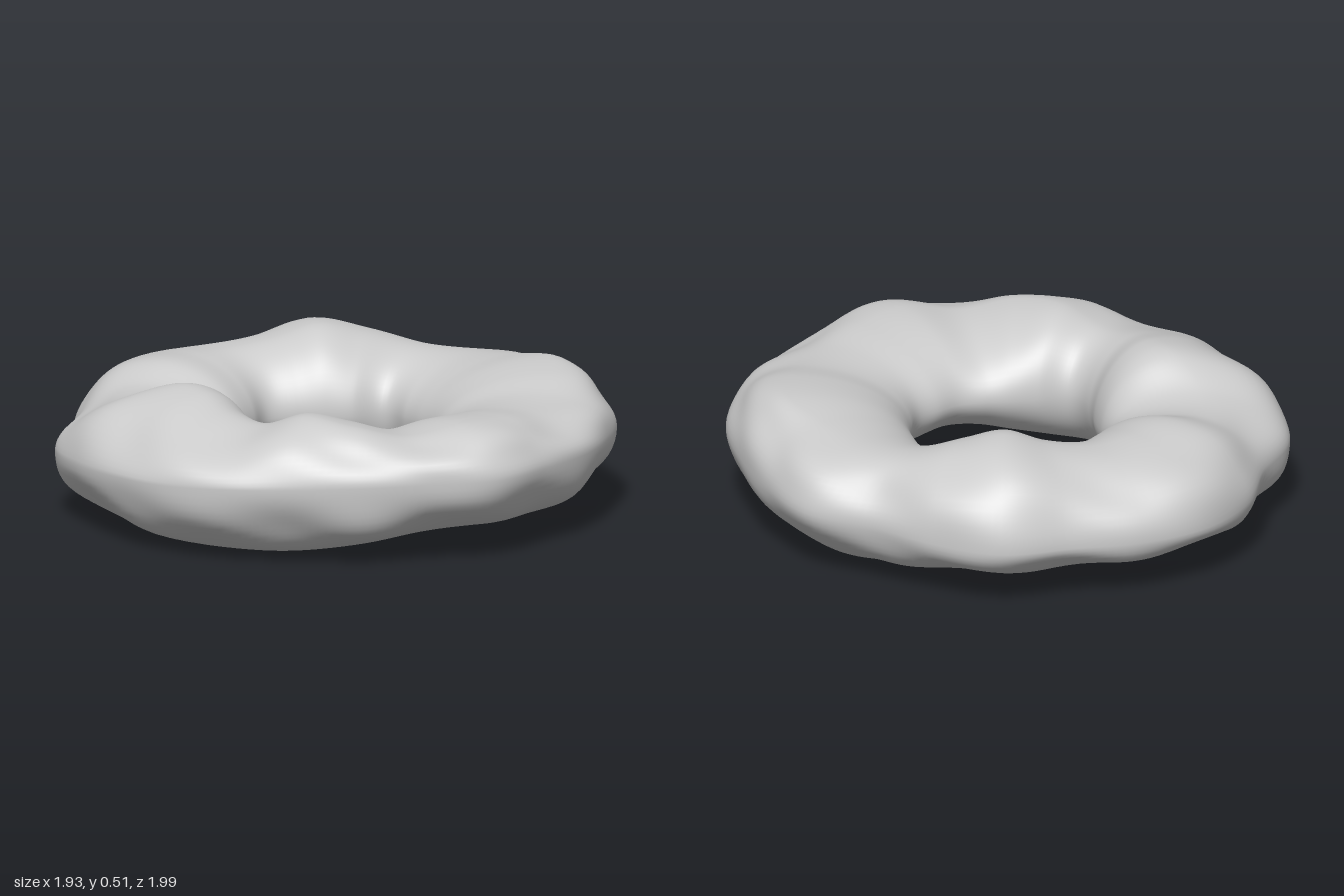
import * as THREE from 'three';

// Ring profile every 15 degrees, starting at +x and turning towards +z
const outerR = [.965, .965, .985, .965, .965, .965, .995, .935, .915, .915, .94, .965, .96, .97, .98, .93, .985, 1.01, .985, .95, .99, .945, .91, .98];
const innerR = [.35, .34, .34, .35, .365, .345, .345, .33, .33, .36, .415, .385, .34, .33, .35, .35, .345, .36, .4, .37, .35, .36, .42, .38];
const topY = [.46, .49, .48, .445, .44, .46, .47, .44, .48, .5, .45, .47, .51, .51, .43, .42, .47, .465, .46, .48, .525, .49, .445, .44];
const bottomY = [.03, .04, .04, .05, .06, .08, .09, .08, .05, .03, .02, .02, .03, .03, .03, .04, .05, .08, .09, .08, .06, .05, .03, .01];
const crestR = [.73, .79, .76, .7, .68, .73, .76, .72, .71, .64, .62, .6, .57, .59, .66, .68, .66, .65, .64, .62, .62, .64, .67, .7];

// Smooth periodic lookup (Catmull-Rom) in one of the lists
function sample(list, t) {
  const n = list.length, f = t * n, i = Math.floor(f), u = f - i;
  const [a, b, c, d] = [-1, 0, 1, 2].map(k => list[(i + k + n) % n]);
  return b + 0.5 * u * (c - a + u * (2 * a - 5 * b + 4 * c - d + u * (3 * (b - c) + d - a)));
}

// Quarter-arc term: exponent 1 is an ellipse, higher is leaner
const arc = (v, e) => Math.sign(v) * Math.pow(Math.abs(v), e);

// Leanness of each quarter of the section: sloping left shoulder, tucked-under right side
function leanness(a, cos, sin) {
  if (cos < 0) return 1.02;
  return sin > 0 ? 0.97 + 0.26 * Math.max(0, -Math.cos(a)) ** 2
    : 0.96 + 0.14 * Math.max(0, Math.cos(a)) ** 2;
}

function ringPoint(t, s, target) {
  const a = t * Math.PI * 2, p = s * Math.PI * 2;
  const e = leanness(a, Math.cos(p), Math.sin(p));
  const c = arc(Math.cos(p), e), h = arc(Math.sin(p), e);
  const ro = sample(outerR, t), ri = sample(innerR, t);
  const yt = sample(topY, t), yb = sample(bottomY, t);
  const rimY = 0.265 + 0.045 * Math.sin(a);
  const crest = sample(crestR, t), keel = 0.64 - 0.03 * Math.cos(a);
  // blend crest to keel and rim to hole heights around the section
  const midR = THREE.MathUtils.lerp(keel, crest, (h + 1) / 2);
  const midY = THREE.MathUtils.lerp(0.25, rimY, (c + 1) / 2);
  let r = midR + c * (c > 0 ? ro - midR : midR - ri);
  let y = midY + h * (h > 0 ? yt - midY : midY - yb);
  // small lumps on the outer half only
  const lump = Math.max(0, Math.cos(p)) * Math.sin(2 * p) ** 2
    * (0.012 * Math.sin(7 * a + 2 * p + 1) + 0.01 * Math.sin(12 * a - 3 * p));
  r += lump * Math.cos(p);
  y += lump * Math.sin(p);
  return target.set(r * Math.cos(a), y, r * Math.sin(a));
}

export function createModel() {
  const group = new THREE.Group();
  group.name = 'lumpyRing';

  // Closed grid of cross-sections round the ring
  const U = 192, V = 64, pos = [], nor = [], idx = [];
  const p = new THREE.Vector3(), a = new THREE.Vector3(), b = new THREE.Vector3();
  const q = new THREE.Vector3(), e = 0.004;
  const wrap = v => (v + 1) % 1;
  for (let i = 0; i < U; i++) {
    for (let j = 0; j < V; j++) {
      const t = i / U, s = j / V;
      ringPoint(t, s, p);
      pos.push(p.x, p.y, p.z);
      ringPoint(wrap(t + e), s, a).sub(ringPoint(wrap(t - e), s, q));
      ringPoint(t, wrap(s + e), b).sub(ringPoint(t, wrap(s - e), q));
      b.cross(a).normalize();
      nor.push(b.x, b.y, b.z);
      const i2 = (i + 1) % U, j2 = (j + 1) % V;
      const A = i * V + j, B = i2 * V + j, C = i2 * V + j2, D = i * V + j2;
      idx.push(A, D, B, B, D, C);
    }
  }
  const geo = new THREE.BufferGeometry();
  geo.setAttribute('position', new THREE.Float32BufferAttribute(pos, 3));
  geo.setAttribute('normal', new THREE.Float32BufferAttribute(nor, 3));
  geo.setIndex(idx);

  // Stand on the ground, centred
  geo.computeBoundingBox();
  const box = geo.boundingBox;
  geo.translate(-(box.min.x + box.max.x) / 2, -box.min.y, -(box.min.z + box.max.z) / 2);

  const ring = new THREE.Mesh(geo, new THREE.MeshStandardMaterial({ color: 0xcccccc }));
  ring.name = 'ring';
  group.add(ring);
  return group;
}
